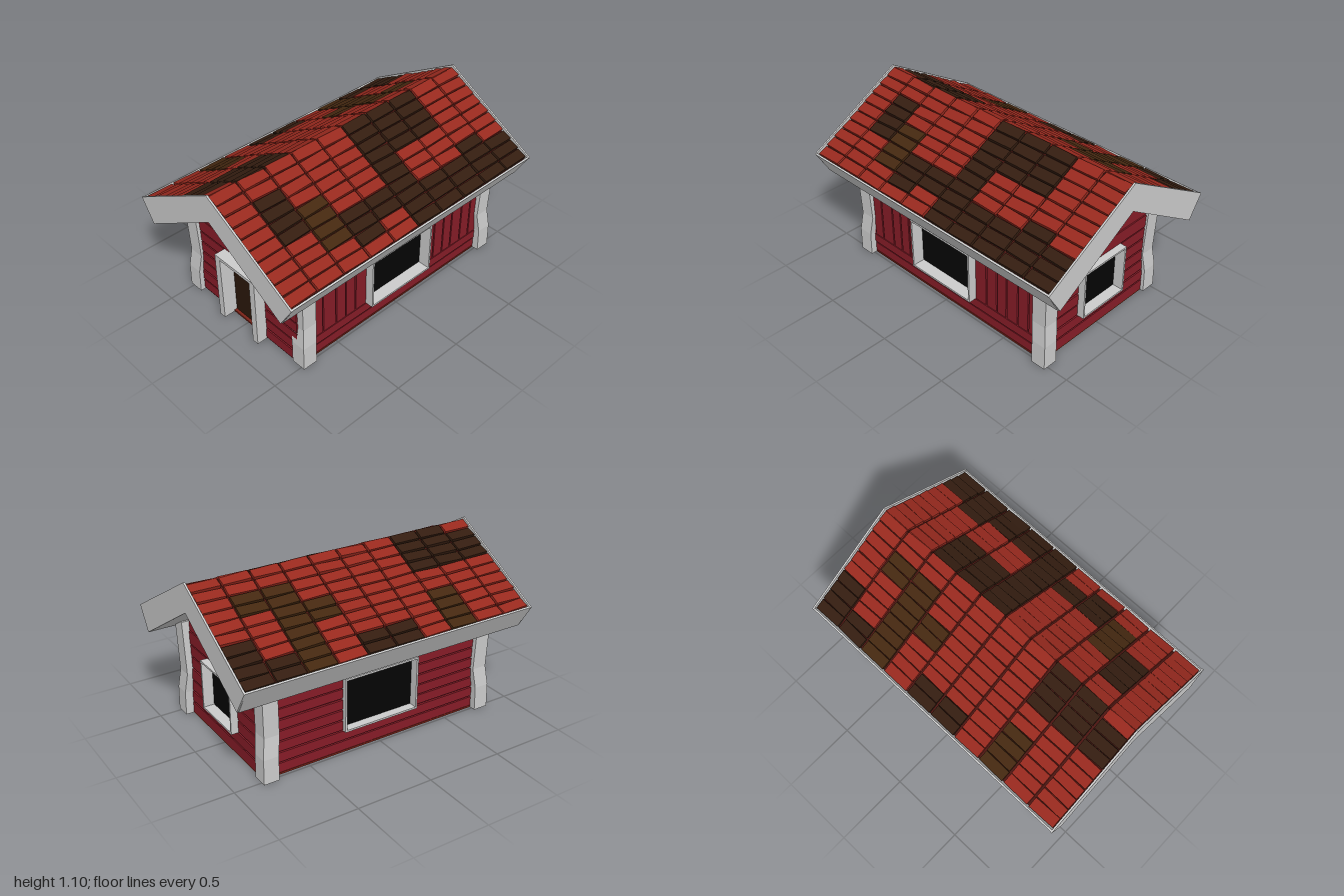
import * as THREE from 'three';

const mat = (color) => new THREE.MeshStandardMaterial({ color, flatShading: true });
const GREY = mat(0xcccccc), WALL = mat(0x861c27), FLOOR = mat(0x7a2217);
const GLASS = mat(0x040404), DOOR = mat(0x2a170b), BED = mat(0x4a1510);
const TILE = { '.': mat(0x98291e), d: mat(0x341d10), b: mat(0x452810) };

let seed = 7;
const jitter = (a) => {
  seed = (seed * 16807) % 2147483647;
  return (seed / 2147483647 - 0.5) * 2 * a;
};

function add(parent, name, geo, material, x = 0, y = 0, z = 0) {
  const m = new THREE.Mesh(geo, material);
  m.name = name;
  m.position.set(x, y, z);
  parent.add(m);
  return m;
}
const box = (w, h, d) => new THREE.BoxGeometry(w, h, d);

// Outline in (z, y), extruded along x and centred
function prismX(points, length) {
  const shape = new THREE.Shape(points.map(([z, y]) => new THREE.Vector2(z, y)));
  const g = new THREE.ExtrudeGeometry(shape, { depth: length, bevelEnabled: false });
  return g.translate(0, 0, -length / 2).rotateY(-Math.PI / 2);
}

// Wall board lying along x, facing +z, with a narrow step at both edges
const STEP = 0.005, BACK = -0.035;
const plank = (length, h) => prismX([
  [BACK, -h / 2], [0, -h / 2], [0, -h / 2 + STEP], [0.014, -h / 2 + STEP],
  [0.014, h / 2 - STEP], [0, h / 2 - STEP], [0, h / 2], [BACK, h / 2]], length);

// Rows of boards, parted around a hole of width gap
function horizontalPlanks(wall, length, y0, y1, rows, gap = 0) {
  const h = (y1 - y0) / rows, part = (length - gap) / 2;
  for (let i = 0; i < rows; i++) {
    const y = y0 + h * (i + 0.5);
    if (!gap) add(wall, 'plank', plank(length, h), WALL, 0, y, jitter(0.002));
    else for (const s of [-1, 1]) {
      add(wall, 'plank', plank(part, h), WALL, s * (gap + part) / 2, y, jitter(0.002));
    }
  }
}

// Upright boards from x0 to x1
function uprightPlanks(wall, x0, x1, y0, y1, count) {
  let x = x0;
  for (let i = 1; i <= count; i++) {
    const next = i === count ? x1 : x0 + (x1 - x0) * i / count + jitter(0.018);
    add(wall, 'uprightPlank', plank(y1 - y0, next - x).rotateZ(Math.PI / 2), WALL, (x + next) / 2, (y0 + y1) / 2, 0);
    x = next;
  }
}

// Framed recess in a wall facing +z
function opening(parent, name, w, h, y, depth, side, top, fill, sill = true) {
  const g = new THREE.Group();
  g.name = name;
  g.position.y = y;
  const d = depth - BACK, z = (depth + BACK) / 2;
  add(g, 'panel', box(w - side, h - top, 0.02), fill, 0, h / 2, BACK + 0.015);
  for (const s of [-1, 1]) add(g, 'sideTrim', box(side, h, d), GREY, s * (w - side) / 2, h / 2, z);
  add(g, 'topTrim', box(w - 2 * side, top, d), GREY, 0, h - top / 2, z);
  if (sill) add(g, 'sill', box(w - 2 * side, top, d), GREY, 0, top / 2, z);
  parent.add(g);
}

// Crooked square corner post, bending outwards along (sx, sz)
function cornerPost(sx, sz) {
  const g = new THREE.BoxGeometry(0.1, 4, 0.1, 1, 4, 1);
  const heights = [0, 0.16, 0.29, 0.44, 0.65], bend = [0.004, 0.002, -0.014, -0.01, -0.004];
  const p = g.attributes.position;
  for (let i = 0; i < p.count; i++) {
    const k = Math.round(p.getY(i) + 2);
    p.setXYZ(i, p.getX(i) + sx * bend[k], heights[k], p.getZ(i) + sz * bend[k]);
  }
  g.computeVertexNormals();
  return g;
}

// Tile colours: one string per column, ridge to eave
const FRONT_TILES = ['..........', '..dddd....', '....bbbb..', '......ddd.', '......dd..',
  'dddddddddd', 'dddd...ddd', 'dddd...ddd', '......dddd', '.......ddd'];
const BACK_TILES = ['.ddd......', 'dddd......', 'dddd..bbbb', '..........', '........dd',
  '........dd', '....bb....', '..bbbbbbbb', '..bb....dd', '......dddd'];

function roofSide(name, pattern, s) {
  const turn = new THREE.Group(), slope = new THREE.Group();
  turn.name = name;
  turn.position.y = 1.1;
  turn.rotation.y = s > 0 ? 0 : Math.PI;
  slope.rotation.x = Math.PI / 6;
  turn.add(slope);
  add(slope, 'tileBed', box(1.97, 0.02, 0.75), BED, 0, -0.038, 0.385);
  pattern.forEach((column, c) => [...column].forEach((key, r) => {
    const t = add(slope, 'roofTile', box(0.183, 0.022, 0.068), TILE[key],
      s * (c - 4.5) * 0.198, -0.021, 0.042 + r * 0.0757);
    t.rotation.set(-0.1 + jitter(0.08), jitter(0.03), jitter(0.025));
  }));
  // Eave board closing the lower edge
  add(slope, 'eaveBoard', box(1.98, 0.178, 0.012), GREY, 0, -0.0895, 0.771);
  return turn;
}

export function createModel() {
  const root = new THREE.Group();
  root.name = 'cabin';

  // Inner house body and floor
  add(root, 'houseBody', prismX([[-0.44, 0.008], [0.44, 0.008], [0.44, 0.65], [0, 0.925], [-0.44, 0.65]], 1.5), WALL);
  add(root, 'floor', box(1.585, 0.012, 0.965), FLOOR, 0.008, 0.006, 0);

  // Four walls, each built facing +z and then turned
  const wall = (name, angle, distance) => {
    const g = new THREE.Group();
    g.name = name;
    g.rotation.y = angle;
    g.position.set(Math.sin(angle) * distance, 0, Math.cos(angle) * distance);
    root.add(g);
    return g;
  };
  const front = wall('frontWall', 0, 0.47);
  const back = wall('backWall', Math.PI, 0.47);
  const windowGable = wall('windowGable', Math.PI / 2, 0.785);
  const doorGable = wall('doorGable', -Math.PI / 2, 0.775);

  // Front: horizontal boards above and below upright boards
  horizontalPlanks(front, 1.53, 0.01, 0.152, 2);
  uprightPlanks(front, -0.765, -0.25, 0.152, 0.507, 6);
  uprightPlanks(front, 0.25, 0.765, 0.152, 0.507, 6);
  horizontalPlanks(front, 1.53, 0.507, 0.63, 2);
  opening(front, 'frontWindow', 0.51, 0.355, 0.152, 0.07, 0.012, 0.012, GLASS);

  // Back: horizontal boards around the window
  horizontalPlanks(back, 1.53, 0.01, 0.152, 2);
  horizontalPlanks(back, 1.53, 0.152, 0.507, 5, 0.51);
  horizontalPlanks(back, 1.53, 0.507, 0.63, 2);
  opening(back, 'backWindow', 0.525, 0.355, 0.152, 0.045, 0.012, 0.012, GLASS);

  // Gable with window
  horizontalPlanks(windowGable, 0.92, 0.005, 0.163, 2);
  horizontalPlanks(windowGable, 0.92, 0.163, 0.493, 4, 0.36);
  horizontalPlanks(windowGable, 0.92, 0.493, 0.587, 1);
  opening(windowGable, 'gableWindow', 0.37, 0.33, 0.163, 0.06, 0.012, 0.012, GLASS);

  // Gable with door
  horizontalPlanks(doorGable, 0.92, 0.005, 0.485, 6, 0.34);
  horizontalPlanks(doorGable, 0.92, 0.485, 0.587, 1);
  opening(doorGable, 'door', 0.36, 0.485, 0, 0.085, 0.045, 0.02, DOOR, false);

  // Plain peak above the boards of each gable
  const peak = new THREE.Shape([[-0.46, 0.587], [0.46, 0.587], [0.46, 0.64], [0, 0.922], [-0.46, 0.64]]
    .map(([x, y]) => new THREE.Vector2(x, y)));
  for (const g of [windowGable, doorGable]) {
    add(g, 'gablePeak', new THREE.ExtrudeGeometry(peak, { depth: 0.047, bevelEnabled: false }), WALL, 0, 0, BACK);
  }

  // Corner posts, set a little unevenly
  for (const [x, z] of [[0.8, 0.473], [0.77, -0.475], [-0.742, 0.47], [-0.768, -0.473]]) {
    add(root, 'cornerPost', cornerPost(Math.sign(x), Math.sign(z)), GREY, x, 0, z);
  }

  // Roof slab, end boards and tiled slopes
  add(root, 'roofSlab', prismX([[0, 1.05], [-0.65, 0.677], [-0.575, 0.563], [0, 0.915], [0.575, 0.563], [0.65, 0.677]], 1.975), GREY);
  const board = [[0, 1.1], [-0.675, 0.712], [-0.58, 0.56], [0, 0.915], [0.58, 0.56], [0.675, 0.712]];
  for (const s of [-1, 1]) add(root, 'endBoard', prismX(board, 0.012), GREY, s * 0.994);
  root.add(roofSide('frontRoof', FRONT_TILES, 1), roofSide('backRoof', BACK_TILES, -1));
  return root;
}
